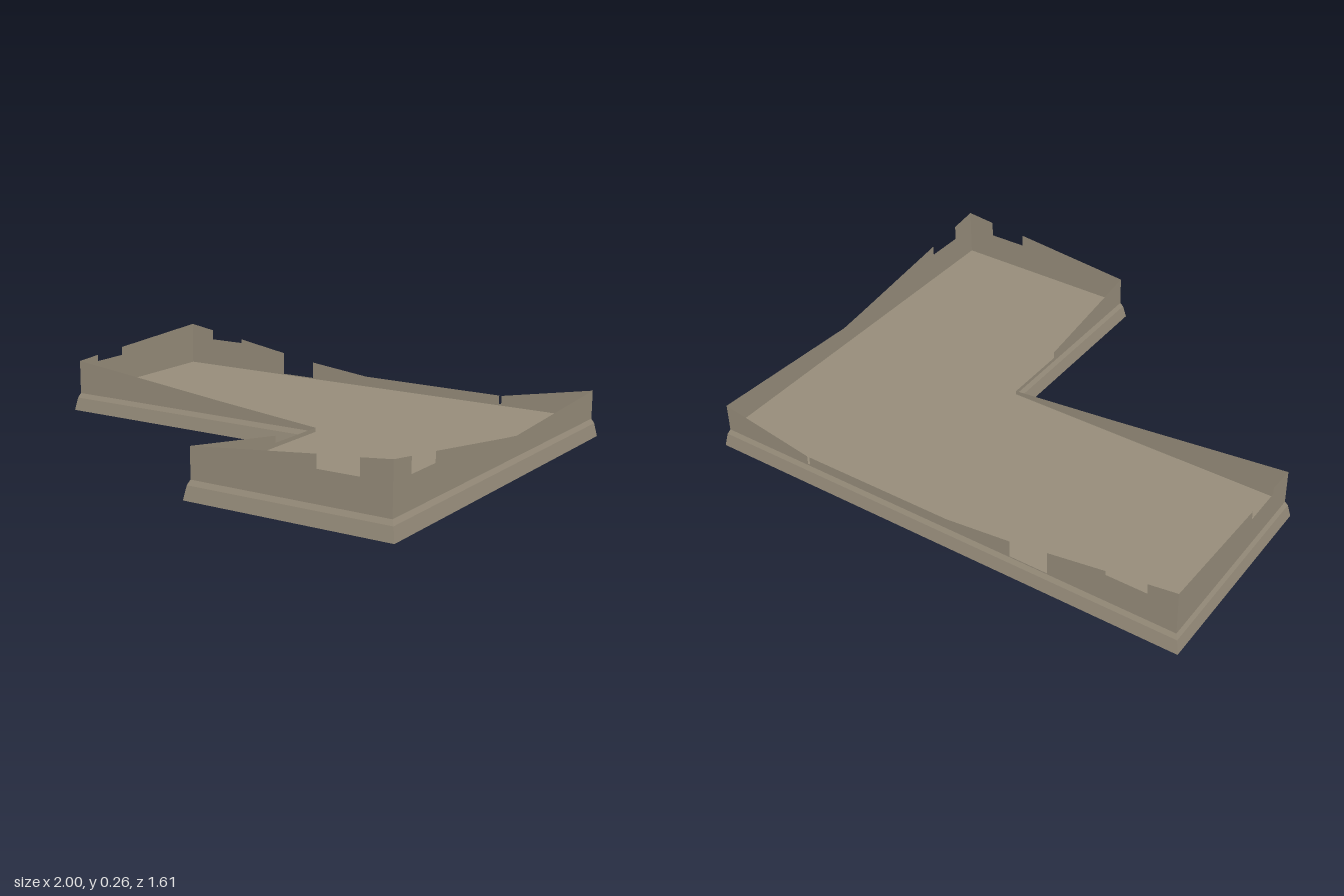
import * as THREE from 'three';

export function createModel() {
  const model = new THREE.Group();
  model.name = 'ruinedFoundation';

  const stone = new THREE.MeshStandardMaterial({ color: 0x968c7a, side: THREE.DoubleSide, flatShading: true });
  stone.name = 'weathered stone';

  const add = (name, geometry) => {
    const mesh = new THREE.Mesh(geometry, stone);
    mesh.name = name;
    model.add(mesh);
    return mesh;
  };

  const FLOOR = 0.072;

  // L-shaped plan: x, z and the outward direction at each corner
  const corners = [
    [-0.98, -0.785, -1, -1],
    [0.98, -0.785, 1, -1],
    [0.98, 0.785, 1, 1],
    [0.195, 0.785, -1, 1],
    [0.195, 0, -1, 1],
    [-0.98, 0, -1, 1],
  ];

  // Floor slab
  const plan = new THREE.Shape(corners.map(([x, z]) => new THREE.Vector2(x, -z)));
  add('floor', new THREE.ShapeGeometry(plan).rotateX(-Math.PI / 2).translate(0, FLOOR, 0));

  // Flared skirt: rings of [outward offset, height] around the plan
  const rings = [[0.019, 0], [0.009, 0.053], [0, FLOOR]];
  const position = [], index = [];
  const n = corners.length;
  rings.forEach(([out, y], r) => {
    corners.forEach(([x, z, sx, sz], i) => {
      position.push(x + sx * out, y, z + sz * out);
      if (r === 0) return;
      const j = (i + 1) % n, low = (r - 1) * n, high = r * n;
      index.push(low + i, high + i, low + j, low + j, high + i, high + j);
    });
  });
  const skirt = new THREE.BufferGeometry();
  skirt.setAttribute('position', new THREE.Float32BufferAttribute(position, 3));
  skirt.setIndex(index);
  const skirtFlat = skirt.toNonIndexed();
  skirtFlat.computeVertexNormals();
  add('skirt', skirtFlat);

  // Broken walls: thin sheets with a ragged top given as [distance along, height]
  const wall = (name, axis, at, top) => {
    const first = top[0][0], last = top[top.length - 1][0];
    const outline = [[first, FLOOR], [last, FLOOR], ...[...top].reverse()];
    const shape = new THREE.Shape(outline.map(([u, h]) => new THREE.Vector2(u, h)));
    const geometry = new THREE.ShapeGeometry(shape);
    if (axis === 'x') geometry.translate(0, 0, at);
    else geometry.rotateY(-Math.PI / 2).translate(at, 0, 0);
    add(name, geometry);
  };

  wall('backWall', 'x', -0.785, [
    [-0.98, 0.25], [-0.865, 0.232], [-0.865, 0.19], [-0.705, 0.19], [-0.705, 0.207],
    [-0.475, 0.17], [-0.475, 0.076], [-0.32, 0.076], [-0.32, 0.145], [-0.05, 0.115],
    [0.58, 0.113], [0.58, 0.078], [0.59, 0.078], [0.59, 0.113], [0.98, 0.185],
  ]);
  wall('frontWall', 'x', 0.785, [
    [0.195, 0.19], [0.7, 0.24], [0.7, 0.19], [0.86, 0.19], [0.86, 0.253], [0.98, 0.265],
  ]);
  wall('innerFrontWall', 'x', 0, [
    [-0.98, 0.21], [-0.25, 0.132], [0.195, 0.088],
  ]);
  wall('leftWall', 'z', 0.98, [
    [-0.785, 0.185], [-0.1, 0.15], [0, 0.162], [0.51, 0.23], [0.51, 0.19],
    [0.67, 0.19], [0.67, 0.25], [0.785, 0.265],
  ]);
  wall('innerRightWall', 'z', 0.195, [
    [0, 0.088], [0.27, 0.088], [0.27, 0.115], [0.785, 0.19],
  ]);
  wall('rightWall', 'z', -0.98, [
    [-0.785, 0.25], [-0.275, 0.225], [-0.275, 0.19], [-0.115, 0.19], [-0.115, 0.217], [0, 0.21],
  ]);

  return model;
}
